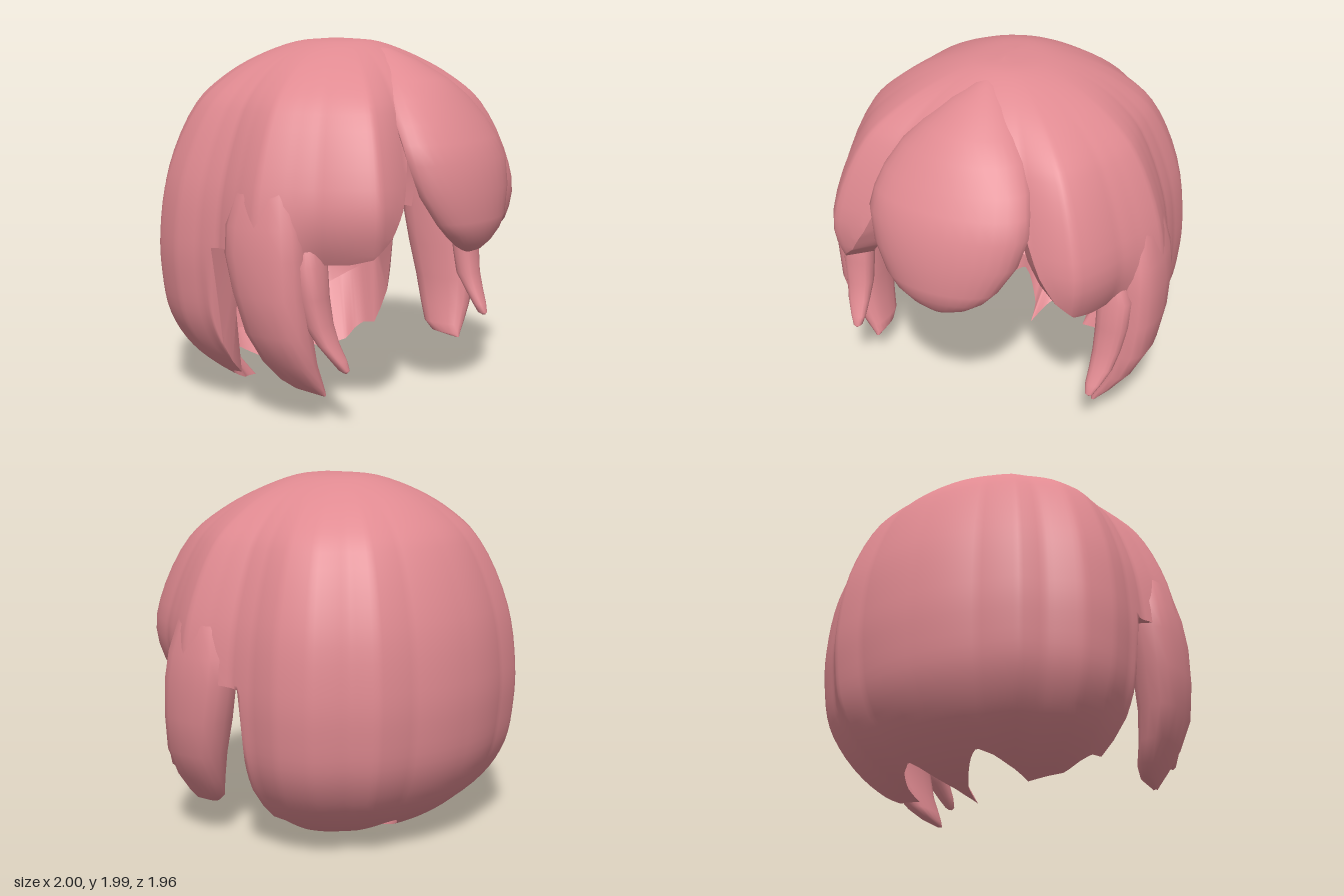
import * as THREE from 'three';
import { mergeVertices } from 'three/addons/utils/BufferGeometryUtils.js';

const V = (x, y, z) => new THREE.Vector3(x, y, z);
const { lerp, smoothstep, degToRad } = THREE.MathUtils;

// piecewise-linear lookup in a table of [key, value] with rising keys
function lookup(table, k) {
  for (let i = 1; i < table.length; i++) {
    const [k0, v0] = table[i - 1], [k1, v1] = table[i];
    if (k <= k1) return v0 + (v1 - v0) * Math.max(0, (k - k0) / (k1 - k0));
  }
  return table[table.length - 1][1];
}

// skin over closed rings, listed from top to bottom
function skin(rings) {
  const n = rings[0].length, index = [];
  for (let r = 0; r < rings.length - 1; r++) {
    for (let c = 0; c < n; c++) {
      const d = (c + 1) % n, a = r * n, b = a + n;
      index.push(a + c, b + c, b + d, a + c, b + d, a + d);
    }
  }
  let g = new THREE.BufferGeometry().setFromPoints(rings.flat());
  g.setIndex(index);
  g = mergeVertices(g, 1e-4);
  g.computeVertexNormals();
  return g;
}

// outline radius by angle in degrees from the front (0) to the back (180)
const OUTLINE = [[0, 0.77], [31, 0.89], [39, 0.99], [44, 1.05], [50, 1.03], [62, 0.985], [70, 0.985],
  [81, 1.0], [90, 0.95], [99, 0.915], [108, 0.94], [117, 1.0], [128, 1.035], [139, 1.0],
  [147, 1.03], [159, 0.985], [180, 0.98]];

// height of the hem by angle
const HEM = [[0, 1.4], [30, 1.38], [34, 1.16], [39, 1.01], [45, 0.91], [52, 0.88], [63, 0.87], [84, 0.9], [95, 0.92],
  [102, 0.91], [103.5, 0.36], [106, 0.18], [113, 0.17], [121, 0.09], [138, 0.05], [150, 0.1],
  [163, 0.16], [172, 0.07], [180, 0]];

// head profile: radius fraction and height, crown to nape
const PROFILE = [[0, 1.985], [0.22, 1.965], [0.46, 1.88], [0.64, 1.77], [0.79, 1.62], [0.95, 1.26],
  [1, 0.93], [0.995, 0.71], [0.955, 0.48], [0.84, 0.28], [0.67, 0.13], [0.48, 0.04], [0.32, 0]];
const profileCurve = new THREE.CatmullRomCurve3(PROFILE.map(([r, y]) => V(r, y, 0)));
const DEPTH = PROFILE.map(([, y], i) => [-y, i / (PROFILE.length - 1)]);

// rings of the cap from crown to hem; rows past the hem collapse onto it
function capRings(hemAt, place, rows = 48, cols = 240) {
  return Array.from({ length: rows + 1 }, (_, r) => Array.from({ length: cols }, (_, c) => {
    const deg = (c / cols) * 360, fold = deg > 180 ? 360 - deg : deg;
    const s = Math.sin(degToRad(deg)), k = Math.cos(degToRad(deg));
    const p = profileCurve.getPoint(Math.min(r / rows, lookup(DEPTH, -hemAt(fold))));
    // round at the crown, wavy lower down; the side fringes curl inward
    const round = 0.98 - 0.18 * Math.max(0, k) ** 2;
    const curl = fold < 90 ? 0.1 * Math.max(0, (1.2 - p.y) / 0.33) ** 2 * (1 - smoothstep(fold, 60, 80)) : 0;
    const R = p.x * lerp(round, lookup(OUTLINE, fold), smoothstep(p.x, 0.2, 0.95)) * (1 - curl);
    return place(s * R, p.y, k * (R + 0.06 * Math.max(0, 1 - p.x) * (p.y > 1 ? 1 : 0)), p.x);
  }));
}

// tapering side lock; rows: y, back z, front z, inner x, outer x
function lockGeometry(rows, side) {
  const n = 16;
  const rings = rows.map(([y, zb, zf, xi, xo]) => {
    const ring = [];
    for (let i = 0; i < n; i++) {
      const t = (i / n) * Math.PI * 2, s = Math.sin(t), c = Math.cos(t);
      const x = (xi + xo) / 2 + ((xo - xi) / 2) * Math.sign(s) * Math.abs(s) ** 0.8;
      const z = (zb + zf) / 2 + ((zf - zb) / 2) * Math.sign(c) * Math.abs(c) ** 0.8;
      ring.push(V(side * x, y, z));
    }
    return side > 0 ? ring : ring.reverse();
  });
  return skin(rings);
}

const FRONT_LOCK = [[1.0, 0.28, 0.4, 0.72, 0.83], [0.87, 0.3, 0.45, 0.7, 0.89], [0.7, 0.32, 0.46, 0.7, 0.88],
  [0.56, 0.35, 0.48, 0.7, 0.855], [0.46, 0.42, 0.51, 0.7, 0.83], [0.38, 0.48, 0.55, 0.7, 0.79],
  [0.33, 0.515, 0.57, 0.71, 0.76], [0.315, 0.54, 0.56, 0.73, 0.74]];

const SIDE_LOCK = [[1.4, 0.05, 0.25, 0.78, 0.87], [1.2, -0.05, 0.32, 0.76, 0.94], [1.05, -0.09, 0.365, 0.75, 0.98],
  [0.9, -0.09, 0.385, 0.74, 1.0], [0.7, -0.04, 0.39, 0.73, 1.0],
  [0.5, 0.02, 0.4, 0.73, 0.97], [0.34, 0.08, 0.4, 0.71, 0.89], [0.23, 0.14, 0.4, 0.68, 0.8],
  [0.18, 0.21, 0.4, 0.675, 0.745], [0.157, 0.38, 0.4, 0.69, 0.71]];

// centre fringe; rows: y, half width, edge z, middle z
const FRINGE = [[1.95, 0.0, 0.22, 0.25], [1.93, 0.06, 0.27, 0.34], [1.87, 0.15, 0.36, 0.48], [1.77, 0.265, 0.46, 0.65],
  [1.68, 0.345, 0.55, 0.74], [1.56, 0.41, 0.64, 0.83], [1.46, 0.44, 0.7, 0.89], [1.36, 0.452, 0.74, 0.945],
  [1.2, 0.41, 0.78, 0.975], [1.05, 0.32, 0.83, 0.98], [0.98, 0.255, 0.85, 0.965], [0.92, 0.17, 0.855, 0.935],
  [0.88, 0.08, 0.85, 0.9], [0.858, 0.0, 0.83, 0.84]];

function fringeGeometry() {
  const n = 32;
  return skin(FRINGE.map(([y, w, ze, zc]) => Array.from({ length: n }, (_, i) => {
    const t = (i / n) * Math.PI * 2, c = Math.cos(t);
    const bulge = c > 0 ? zc - ze : y > 1.4 ? -0.06 : Math.max(0, zc - ze - 0.1);
    return V(Math.sin(t) * w, y, ze + bulge * Math.abs(c));
  })));
}

export function createModel() {
  const model = new THREE.Group();
  model.name = 'hair';
  const pink = new THREE.MeshStandardMaterial({ color: 0xe08a91 });
  pink.name = 'pink hair';
  const add = (name, geometry) => {
    const mesh = new THREE.Mesh(geometry, pink);
    mesh.name = name;
    model.add(mesh);
  };

  // cap with side fringes and toothed nape, its lining, and the hem between
  const hem = (deg) => lookup(HEM, deg);
  const liningHem = (deg) => Math.max(hem(deg) + 0.02, deg > 90 ? 0.23 + 0.4 * ((180 - deg) / 78) ** 2 : 0);
  const outer = capRings(hem, V);
  const lining = capRings(liningHem, (x, y, z, r) => V(x * 0.79, y - (y > 1 ? 0.12 * Math.max(0, 1 - r) : 0), z * 0.87));
  add('cap', skin(outer));
  add('hem', skin([outer[outer.length - 1], lining[lining.length - 1]]));
  add('lining', skin(lining.reverse()));

  // fringe and hanging locks
  add('centreFringe', fringeGeometry());
  for (const [side, label] of [[1, 'left'], [-1, 'right']]) {
    add(label + 'FrontLock', lockGeometry(FRONT_LOCK, side));
    add(label + 'SideLock', lockGeometry(SIDE_LOCK, side));
  }
  return model;
}
